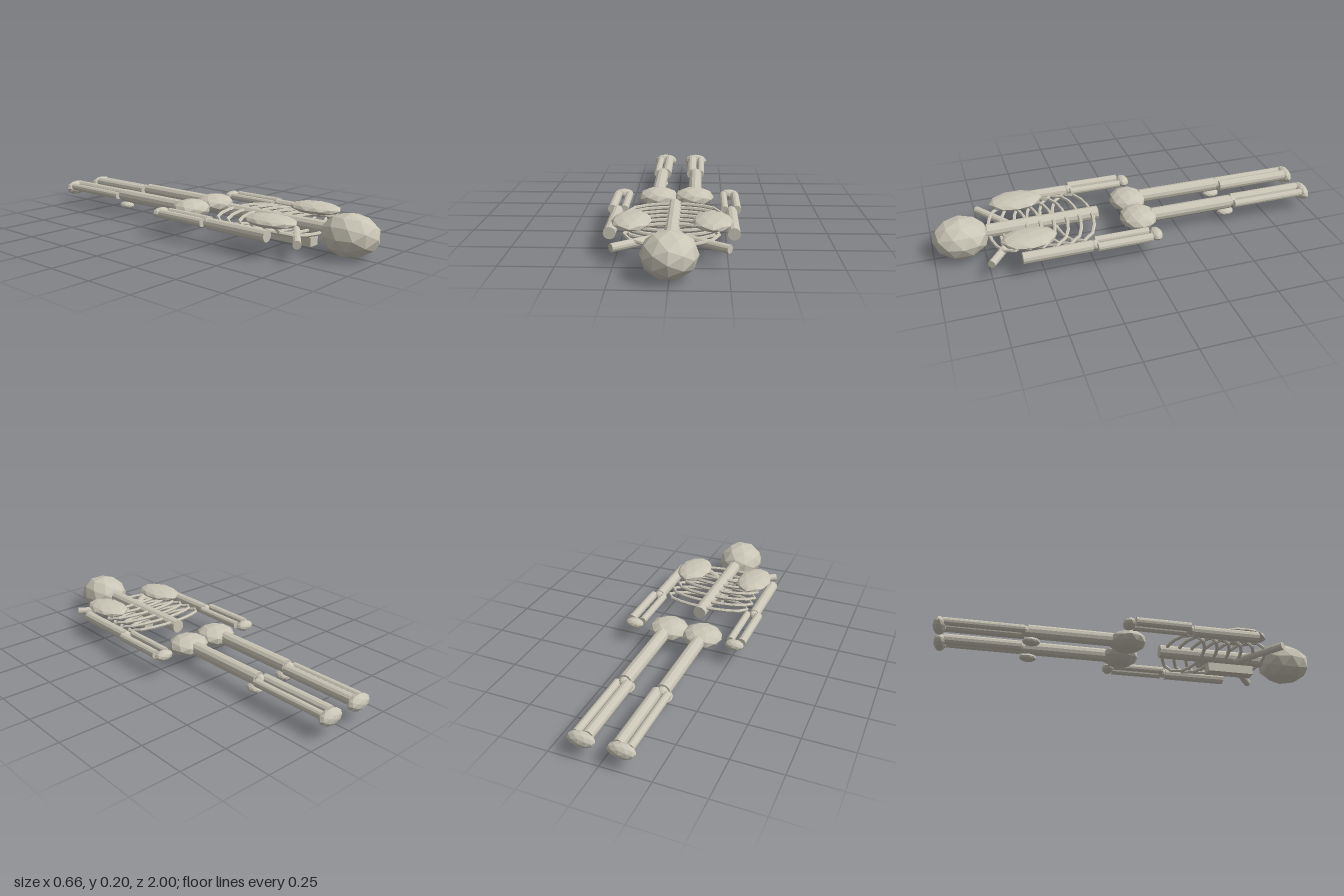
import * as THREE from 'three';

export function createModel() {
  const model = new THREE.Group();
  model.name = 'skeleton';
  const bone = new THREE.MeshStandardMaterial({ color: 0xc9c5b6, flatShading: true });
  bone.name = 'bone';
  const facetedBall = new THREE.IcosahedronGeometry(1, 1);

  function add(name, geometry) {
    const mesh = new THREE.Mesh(geometry, bone);
    mesh.name = name;
    model.add(mesh);
    return mesh;
  }
  // Faceted ellipsoid given by centre and half sizes
  function ellipsoid(name, centre, half) {
    const mesh = add(name, facetedBall);
    mesh.position.set(...centre);
    mesh.scale.set(...half);
  }
  // Straight cylinder between two points
  function rod(name, from, to, radius) {
    const a = new THREE.Vector3(...from);
    const b = new THREE.Vector3(...to);
    const dir = b.clone().sub(a);
    const mesh = add(name, new THREE.CylinderGeometry(radius, radius, dir.length(), 12));
    mesh.position.copy(a).add(b).multiplyScalar(0.5);
    mesh.quaternion.setFromUnitVectors(new THREE.Vector3(0, 1, 0), dir.normalize());
  }

  // Trunk, lying face down with the head toward +z
  ellipsoid('skull', [0, 0.103, 0.858], [0.125, 0.102, 0.14]);
  rod('spine', [0, 0.113, 0.16], [0, 0.113, 0.73], 0.035);
  add('sternum', new THREE.BoxGeometry(0.06, 0.046, 0.246)).position.set(0, 0.04, 0.544);

  // Ribs: thin closed loops stepping along the spine
  for (let i = 0; i < 6; i++) {
    const rx = 0.235 - 0.006 * Math.abs(i - 1);
    const points = [];
    for (let k = 0; k < 16; k++) {
      const a = (k / 16) * Math.PI * 2;
      points.push(new THREE.Vector3(Math.cos(a) * rx, -Math.sin(a) * 0.018, Math.sin(a) * 0.095));
    }
    const loop = new THREE.CatmullRomCurve3(points, true);
    add('rib', new THREE.TubeGeometry(loop, 16, 0.009, 6, true)).position.set(0, 0.112, 0.29 + i * 0.067);
  }

  // Paired bones
  for (const [side, s] of [['left', 1], ['right', -1]]) {
    const n = (part) => side + part;
    ellipsoid(n('ShoulderBlade'), [s * 0.182, 0.152, 0.55], [0.092, 0.029, 0.138]);
    rod(n('Collarbone'), [s * 0.02, 0.089, 0.575], [s * 0.255, 0.089, 0.748], 0.02);

    // Arm
    rod(n('UpperArm'), [s * 0.278, 0.108, 0.262], [s * 0.278, 0.108, 0.603], 0.029);
    ellipsoid(n('Elbow'), [s * 0.278, 0.112, 0.25], [0.025, 0.025, 0.025]);
    rod(n('OuterForearm'), [s * 0.306, 0.115, -0.035], [s * 0.306, 0.115, 0.242], 0.022);
    rod(n('InnerForearm'), [s * 0.246, 0.115, -0.035], [s * 0.246, 0.115, 0.242], 0.019);
    ellipsoid(n('Hand'), [s * 0.278, 0.112, -0.063], [0.05, 0.027, 0.032]);

    // Hip and leg
    ellipsoid(n('Hip'), [s * 0.093, 0.105, -0.032], [0.105, 0.05, 0.097]);
    rod(n('Thigh'), [s * 0.098, 0.107, -0.1], [s * 0.098, 0.107, -0.54], 0.035);
    ellipsoid(n('Knee'), [s * 0.098, 0.107, -0.55], [0.028, 0.028, 0.028]);
    ellipsoid(n('Kneecap'), [s * 0.098, 0.053, -0.52], [0.035, 0.02, 0.046]);
    rod(n('Shin'), [s * 0.074, 0.105, -0.556], [s * 0.074, 0.105, -0.95], 0.028);
    rod(n('Calf'), [s * 0.128, 0.105, -0.556], [s * 0.128, 0.105, -0.95], 0.02);
    ellipsoid(n('Foot'), [s * 0.096, 0.095, -0.967], [0.069, 0.04, 0.033]);
  }
  return model;
}
